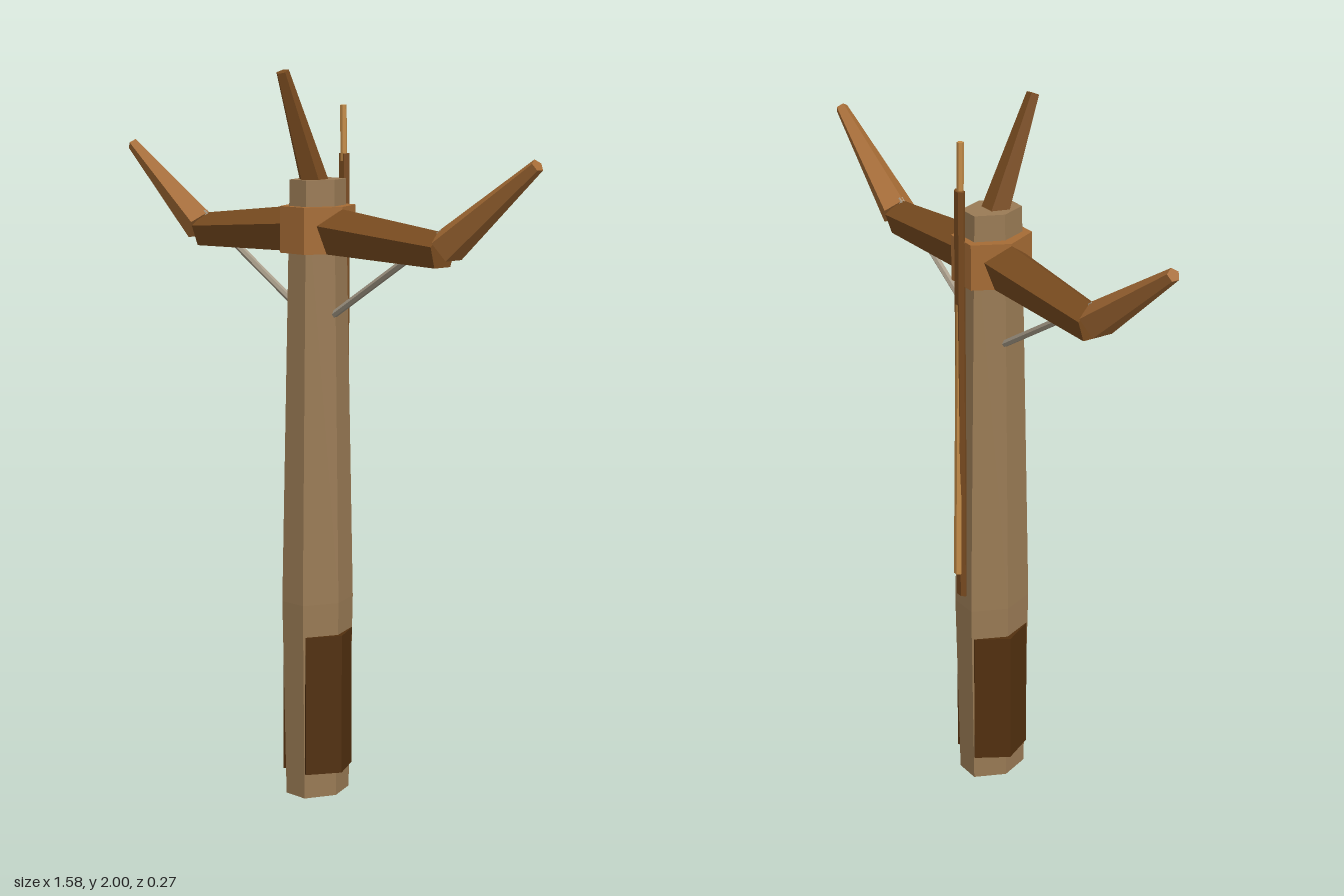
import * as THREE from 'three';

const Z = -0.012; // depth of the post's axis
const UP = new THREE.Vector3(0, 1, 0);

function mat(name, color) {
  return new THREE.MeshStandardMaterial({ name, color, flatShading: true });
}

export function createModel() {
  const model = new THREE.Group();
  model.name = 'woodenPost';

  const postWood = mat('post wood', 0x9a7b55);
  const darkWood = mat('dark wood', 0x7a4c20);
  const midWood = mat('mid wood', 0xa66c35);
  const bark = mat('dark bark', 0x52300f);
  const paleWood = mat('pale wood', 0xc48c48);
  const rope = mat('grey rope', 0xa89d8a);

  function add(name, geometry, material) {
    const mesh = new THREE.Mesh(geometry, material);
    mesh.name = name;
    model.add(mesh);
    return mesh;
  }

  // Tapered many-sided bar between two points
  function limb(name, a, b, r0, r1, sides, start, material) {
    const from = new THREE.Vector3(...a), to = new THREE.Vector3(...b);
    const dir = to.clone().sub(from);
    const geo = new THREE.CylinderGeometry(r1, r0, dir.length(), sides, 1, false, start);
    const mesh = add(name, geo, material);
    mesh.position.copy(from).add(to).multiplyScalar(0.5);
    mesh.quaternion.setFromUnitVectors(UP, dir.normalize());
    return mesh;
  }

  // Six-sided post with a slight swell low down
  const profile = [[0, 0], [0.098, 0], [0.11, 0.55], [0.085, 1.705], [0, 1.705]]
    .map(([r, y]) => new THREE.Vector2(r, y));
  const post = add('post', new THREE.LatheGeometry(profile, 6, Math.PI / 6), postWood);
  post.scale.x = 0.75;
  post.position.z = Z;

  // Collar where the arms meet the post
  const collar = add('collar',
    new THREE.CylinderGeometry(0.11, 0.11, 0.125, 6, 1, false, Math.PI / 6), midWood);
  collar.scale.x = 0.865;
  collar.position.set(0, 1.572, Z);

  // Horn leaning forward from the top
  limb('horn', [0, 1.66, -0.01], [0, 1.991, 0.117], 0.043, 0.018, 5, 0, darkWood);

  for (const s of [1, -1]) {
    const side = s > 0 ? 'left' : 'right';
    const ridge = -s * Math.PI / 2; // keeps one edge on top

    // Arm, raised forearm and brace
    limb(side + 'Arm', [s * 0.03, 1.566, Z], [s * 0.465, 1.539, Z], 0.069, 0.05, 5, ridge, darkWood);
    limb(side + 'Forearm', [s * 0.478, 1.552, Z], [s * 0.78, 1.772, Z], 0.05, 0.018, 5, ridge, midWood);
    limb(side + 'Brace', [s * 0.04, 1.33, Z], [s * 0.465, 1.59, Z], 0.01, 0.01, 6, 0, rope);

    // Bark guard folded around the side of the base
    const guard = new THREE.Shape([[0.045, 0.088], [0.096, 0], [0.045, -0.088], [0.025, -0.08], [0.06, 0], [0.025, 0.08]]
      .map(([x, y]) => new THREE.Vector2(s * x, y)));
    const geo = new THREE.ExtrudeGeometry(guard, { depth: 0.39, bevelEnabled: false });
    geo.rotateX(-Math.PI / 2);
    add(side + 'Guard', geo, bark).position.set(0, 0.07, Z);
  }

  // Rail along the back with a slightly tilted rod running through it
  const rail = limb('backRail', [0, 0.59, -0.111], [0, 1.77, -0.111], 0.02, 0.02, 6, Math.PI / 6, darkWood);
  rail.scale.z = 0.6;
  limb('backRod', [0, 0.66, -0.122], [0, 1.9, -0.107], 0.013, 0.009, 6, Math.PI / 6, paleWood);

  return model;
}
